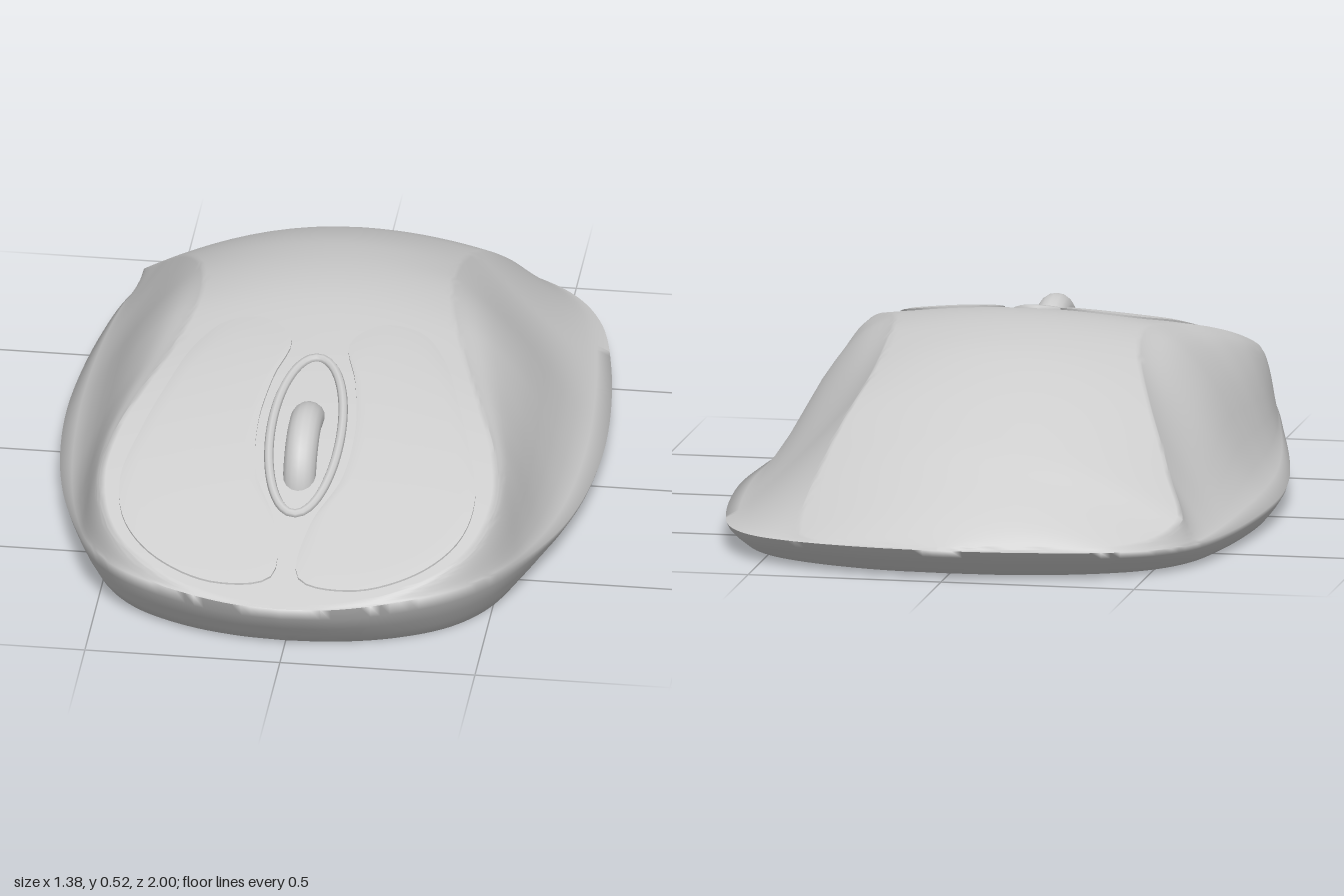
import * as THREE from 'three';
import { toCreasedNormals } from 'three/addons/utils/BufferGeometryUtils.js';

const V = (x, y, z) => new THREE.Vector3(x, y, z);
const { lerp, smoothstep } = THREE.MathUtils;

// Smooth interpolation through a table of [position, value] pairs
function table(pts) {
  const slope = (i) => {
    const a = pts[Math.max(i - 1, 0)], b = pts[Math.min(i + 1, pts.length - 1)];
    return (b[1] - a[1]) / (b[0] - a[0]);
  };
  return (p) => {
    let i = 0;
    while (i < pts.length - 2 && p > pts[i + 1][0]) i++;
    const [p0, v0] = pts[i], [p1, v1] = pts[i + 1], h = p1 - p0;
    const t = Math.min(Math.max((p - p0) / h, 0), 1), t2 = t * t, t3 = t2 * t;
    return v0 * (2 * t3 - 3 * t2 + 1) + slope(i) * h * (t3 - 2 * t2 + t)
      + v1 * (3 * t2 - 2 * t3) + slope(i + 1) * h * (t3 - t2);
  };
}

// Height along the centre line
const ridge = table([[-1, 0.08], [-0.9, 0.165], [-0.8, 0.24], [-0.7, 0.31], [-0.5, 0.42], [-0.3, 0.49],
  [-0.05, 0.515], [0.2, 0.475], [0.4, 0.415], [0.6, 0.337], [0.8, 0.245], [0.9, 0.2], [1, 0.155]]);

// Crease between the top and each side: half width and height along z
const frontWidth = [[0.2, 0.375], [0.35, 0.43], [0.5, 0.485], [0.65, 0.505], [0.8, 0.455], [0.9, 0.34], [0.96, 0.2], [1, 0]];
const frontHeight = [[0.2, 0.45], [0.35, 0.415], [0.5, 0.365], [0.65, 0.305], [0.8, 0.24], [0.9, 0.197], [1, 0.155]];
const crease = {
  right: {
    width: table([[-1, 0], [-0.92, 0.38], [-0.78, 0.57], [-0.6, 0.51], [-0.4, 0.42], [-0.2, 0.355], [0, 0.335], ...frontWidth]),
    height: table([[-1, 0.08], [-0.78, 0.105], [-0.6, 0.23], [-0.4, 0.37], [-0.2, 0.455], [0, 0.48], ...frontHeight]),
  },
  left: {
    width: table([[-1, 0], [-0.95, 0.3], [-0.9, 0.39], [-0.7, 0.36], [-0.45, 0.3], [-0.2, 0.29], [0, 0.315], ...frontWidth]),
    height: table([[-1, 0.08], [-0.9, 0.095], [-0.7, 0.25], [-0.5, 0.38], [-0.2, 0.473], [0, 0.483], ...frontHeight]),
  },
};

// Height of the top surface
function topY(x, z) {
  const c = x < 0 ? crease.right : crease.left;
  const u = Math.min(Math.abs(x) / Math.max(c.width(z), 1e-4), 1);
  return lerp(ridge(z), c.height(z), u * u);
}

// Side wall fall-off from crease (1) to flared rim (0): full in front, scooped behind
const fullWall = table([[0, 1], [0.25, 0.87], [0.5, 0.61], [0.74, 0.23], [0.87, 0.07], [1, 0]]);
const wall = (u, z) => lerp((1 - u) ** 1.25, fullWall(u), smoothstep(z, -0.5, 0.05));

// Widest outline, from the back to the front
const rim = new THREE.CatmullRomCurve3([
  V(0, 0.08, -1), V(0.2, 0.08, -0.985), V(0.4, 0.075, -0.92), V(0.52, 0.07, -0.84), V(0.6, 0.065, -0.72),
  V(0.655, 0.06, -0.5), V(0.69, 0.06, -0.15), V(0.68, 0.06, 0.1), V(0.645, 0.07, 0.32),
  V(0.585, 0.105, 0.55), V(0.515, 0.15, 0.75), V(0.42, 0.165, 0.87), V(0.28, 0.165, 0.95), V(0.13, 0.157, 0.99), V(0, 0.155, 1),
]);

// Inward taper from the rim to the base: [height share, x scale, z scale]
const SKIRT = [[0.75, 0.993, 0.982], [0.45, 0.977, 0.948], [0.2, 0.96, 0.912], [0, 0.945, 0.885]];

// Skin a grid of rows; columns run around each row
function skin(rows, angle) {
  const n = rows[0].length, index = [];
  for (let j = 0; j < rows.length - 1; j++) for (let i = 0; i < n; i++) {
    const k = (i + 1) % n, a = j * n + i, b = j * n + k, d = a + n, e = b + n;
    index.push(a, d, b, b, d, e);
  }
  const g = new THREE.BufferGeometry();
  g.setAttribute('position', new THREE.Float32BufferAttribute(rows.flat().flatMap((p) => p.toArray()), 3));
  g.setIndex(index);
  return toCreasedNormals(g, angle);
}

function bodyGeometry() {
  const rows = [], ROWS = 110, TOP = 12, SIDE = 14;
  for (let j = 0; j <= ROWS; j++) {
    const r = rim.getPointAt(j / ROWS), z = r.z, W = Math.max(r.x, 0);
    const half = (s) => {
      const side = s < 0 ? crease.right : crease.left;
      const c = Math.min(side.width(z), W * 0.97);
      const yc = Math.max(side.height(z), r.y);
      const pts = [];
      // columns gather towards the crease from both sides
      for (let k = 1; k <= TOP; k++) {
        const u = 1 - (1 - k / TOP) ** 1.5;
        pts.push(V(s * c * u, lerp(ridge(z), yc, u * u), z));
      }
      for (let k = 1; k <= SIDE; k++) {
        const u = (k / SIDE) ** 1.5;
        pts.push(V(s * lerp(c, W, u), lerp(r.y, yc, wall(u, z)), z));
      }
      for (const [h, sx, sz] of SKIRT) pts.push(V(s * W * sx, r.y * h, z * sz));
      return pts;
    };
    rows.push([...half(-1).reverse(), V(0, ridge(z), z), ...half(1)]);
  }
  return skin(rows, 1.5);
}

// Panel that follows the top surface, with a short edge wall
function buttonGeometry(s) {
  const outline = new THREE.CatmullRomCurve3([
    [0.035, 0.91], [0.18, 0.935], [0.34, 0.87], [0.43, 0.77], [0.455, 0.65], [0.42, 0.5], [0.375, 0.36],
    [0.32, 0.21], [0.25, 0.12], [0.15, 0.11], [0.075, 0.19], [0.105, 0.32], [0.125, 0.47], [0.11, 0.62], [0.045, 0.76],
  ].map(([x, z]) => V(s * x, 0, z)), true);
  const ring = outline.getSpacedPoints(80).slice(0, 80);
  if (s > 0) ring.reverse();
  const centre = V(s * 0.26, 0, 0.55), rows = [];
  for (let j = 0; j <= 10; j++) {
    rows.push(ring.map((p) => {
      const q = centre.clone().lerp(p, j / 10);
      q.y = topY(q.x, q.z) + (j === 10 ? 0.005 : 0.008);
      return q;
    }));
  }
  rows.push(ring.map((p) => V(p.x, topY(p.x, p.z) - 0.02, p.z)));
  return skin(rows, 0.7);
}

export function createModel() {
  const group = new THREE.Group();
  const material = new THREE.MeshStandardMaterial({ color: 0xcccccc, side: THREE.DoubleSide });
  const add = (name, geometry) => {
    const mesh = new THREE.Mesh(geometry, material);
    mesh.name = name;
    group.add(mesh);
    return mesh;
  };

  add('body', bodyGeometry());
  add('rightButton', buttonGeometry(-1));
  add('leftButton', buttonGeometry(1));

  // Oval surround lying on the top surface
  const oval = [];
  for (let i = 0; i < 32; i++) {
    const a = (i / 32) * Math.PI * 2, x = 0.09 * Math.cos(a), z = 0.485 + 0.24 * Math.sin(a);
    oval.push(V(x, topY(x, z), z));
  }
  add('wheelSurround', new THREE.TubeGeometry(new THREE.CatmullRomCurve3(oval, true), 64, 0.012, 8, true));

  // Scroll wheel
  const wheel = add('scrollWheel', new THREE.TorusGeometry(0.125, 0.042, 16, 48));
  wheel.rotation.y = Math.PI / 2;
  wheel.position.set(0, 0.288, 0.495);

  return group;
}
